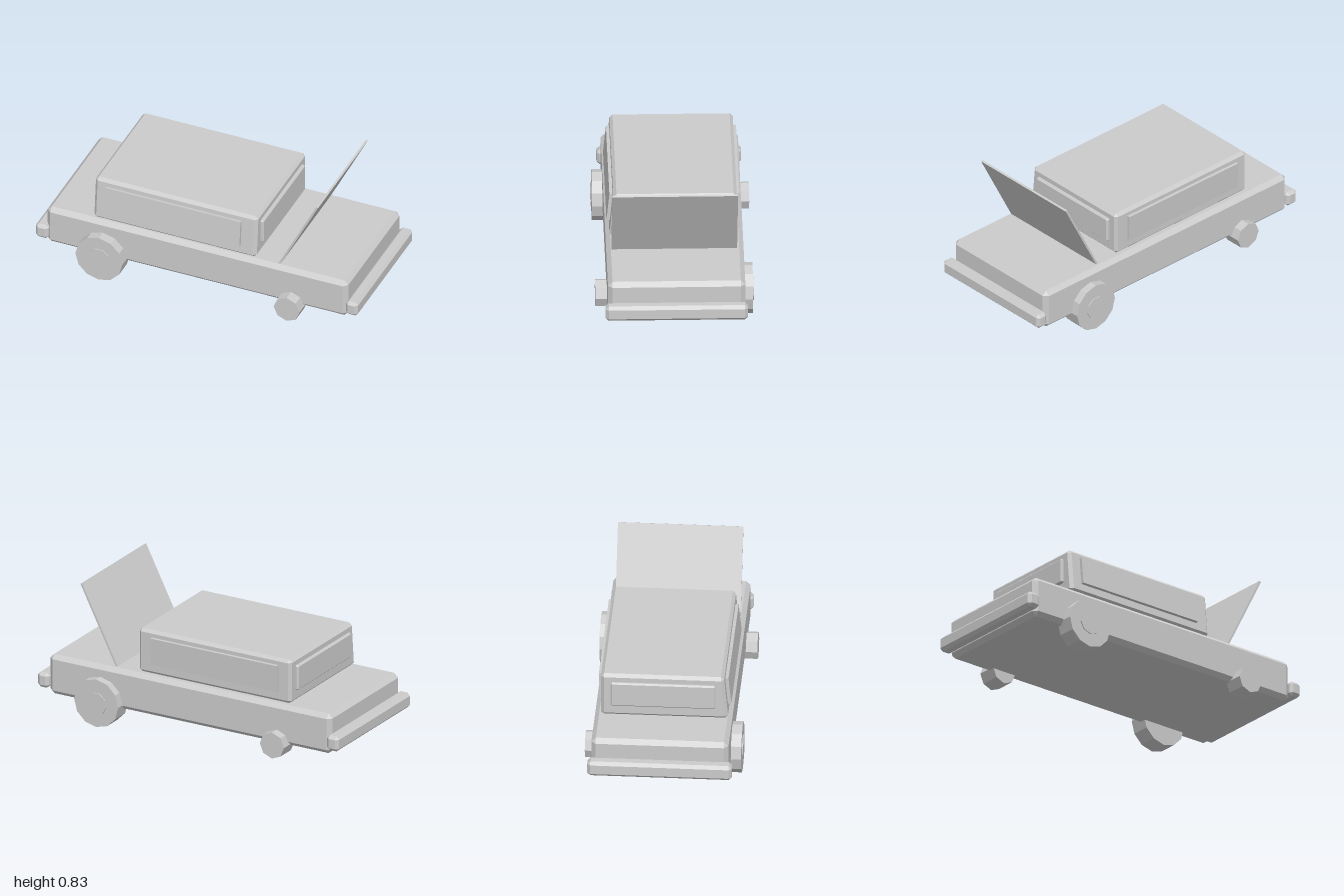
import * as THREE from 'three';
import { ConvexGeometry } from 'three/addons/geometries/ConvexGeometry.js';

const material = new THREE.MeshStandardMaterial({ color: 0xcccccc, flatShading: true });

// Box with chamfered edges, given by its limits on each axis.
// topInset pulls the upper corners of the front (+z) side inwards.
function chamferBox(name, [x0, x1], [y0, y1], [z0, z1], c, topInset = 0) {
  const points = [];
  for (const i of [0, 1]) for (const j of [0, 1]) for (const k of [0, 1]) {
    const corner = [i ? x1 : x0, j ? y1 : y0, k ? z1 - (j ? topInset : 0) : z0];
    const inward = [i ? -c : c, j ? -c : c, k ? -c : c];
    for (let face = 0; face < 3; face++) {
      points.push(new THREE.Vector3(...corner.map((v, a) => (a === face ? v : v + inward[a]))));
    }
  }
  const mesh = new THREE.Mesh(new ConvexGeometry(points), material);
  mesh.name = name;
  return mesh;
}

// Thin flat panel centred at a position, tilted about one axis
function panel(name, size, position, rotation = [0, 0, 0]) {
  const mesh = new THREE.Mesh(new THREE.BoxGeometry(...size), material);
  mesh.name = name;
  mesh.position.set(...position);
  mesh.rotation.set(...rotation);
  return mesh;
}

// Disc with its axle along z
function disc(name, radius, sides, x, y, [z0, z1]) {
  const mesh = new THREE.Mesh(new THREE.CylinderGeometry(radius, radius, z1 - z0, sides), material);
  mesh.name = name;
  mesh.rotation.x = Math.PI / 2;
  mesh.position.set(x, y, (z0 + z1) / 2);
  return mesh;
}

export function createModel() {
  const car = new THREE.Group();
  car.name = 'car';

  // Body and cabin
  car.add(chamferBox('body', [-0.94, 0.93], [0.125, 0.368], [-0.398, 0.387], 0.026));
  car.add(chamferBox('cabin', [-0.655, 0.355], [0.366, 0.634], [-0.362, 0.365], 0.018, 0.022));

  // Bumpers
  car.add(chamferBox('rearBumper', [-1, -0.92], [0.158, 0.25], [-0.417, 0.41], 0.018));
  car.add(chamferBox('frontBumper', [0.925, 1], [0.158, 0.25], [-0.412, 0.402], 0.018));

  // Side windows, slightly tilted out of the cabin walls
  car.add(panel('leftWindow', [0.84, 0.165, 0.02], [-0.16, 0.51, 0.362], [-0.1, 0, 0]));
  car.add(panel('rightWindow', [0.84, 0.165, 0.02], [-0.155, 0.51, -0.365], [-0.05, 0, 0]));

  // Front and rear windows
  car.add(chamferBox('rearWindow', [-0.672, -0.64], [0.437, 0.588], [-0.305, 0.295], 0.008));
  car.add(chamferBox('windscreen', [0.34, 0.374], [0.435, 0.588], [-0.308, 0.295], 0.008));

  // Raised bonnet, hinged next to the cabin
  car.add(panel('raisedBonnet', [0.525, 0.012, 0.718], [0.615, 0.594, -0.001], [0, 0, 1.1]));

  // Wheels at two opposite corners, bare hubs at all four
  for (const side of [1, -1]) {
    const span = (inner, outer) => (side > 0 ? [inner, outer] : [-outer, -inner]);
    const wheelX = -0.585 * side;
    const wheel = new THREE.Group();
    wheel.name = side > 0 ? 'rearWheel' : 'frontWheel';
    const wheelY = side > 0 ? 0.147 : 0.153;
    wheel.add(disc('tyre', 0.146, 12, wheelX, wheelY, span(0.335, 0.446)));
    wheel.add(disc('wheelHub', 0.07, 9, wheelX, 0.15, span(0.335, 0.452)));
    car.add(wheel);
    car.add(disc('bareHub', 0.08, 8, -wheelX, 0.132, span(0.335, 0.453)));
  }

  return car;
}
